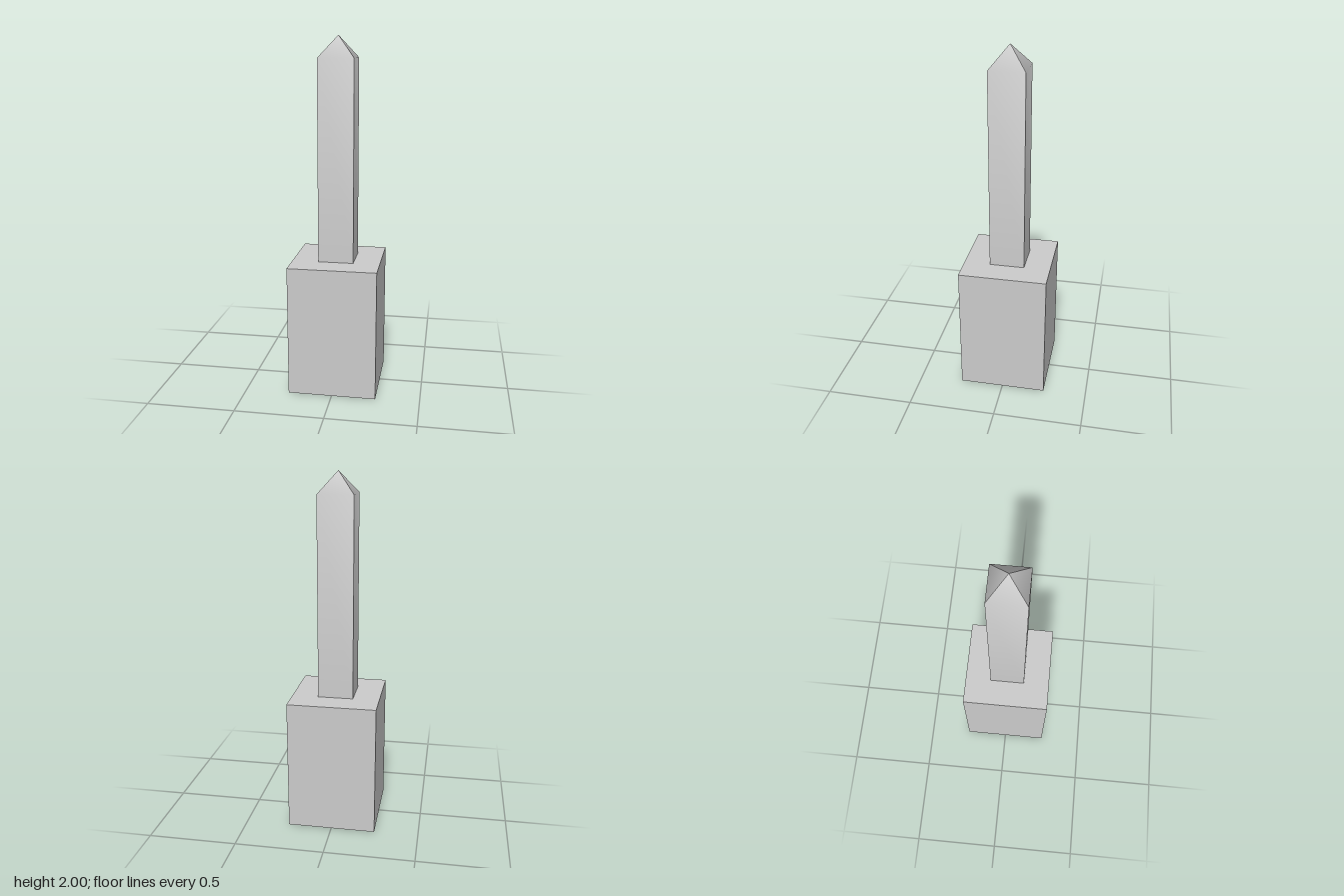
import * as THREE from 'three';
import { toCreasedNormals } from 'three/addons/utils/BufferGeometryUtils.js';

const BASE_SIZE = 0.5;
const BASE_HEIGHT = 0.75;
const SHAFT_SIZE = 0.2;
const SHOULDER_Y = 1.88;
const TIP_Y = 2;

export function createModel() {
  const model = new THREE.Group();
  model.name = 'spike';
  const material = new THREE.MeshStandardMaterial({ color: 0xcccccc });

  // Square block standing on the ground
  const base = new THREE.Mesh(new THREE.BoxGeometry(BASE_SIZE, BASE_HEIGHT, BASE_SIZE), material);
  base.name = 'base';
  base.position.y = BASE_HEIGHT / 2;
  model.add(base);

  // Four-sided shaft with a pyramid tip; each side blends softly into its tip face
  const radius = SHAFT_SIZE / Math.SQRT2;
  const profile = [
    new THREE.Vector2(radius, BASE_HEIGHT),
    new THREE.Vector2(radius, SHOULDER_Y),
    new THREE.Vector2(0, TIP_Y),
  ];
  const shaftGeometry = new THREE.LatheGeometry(profile, 4, Math.PI / 4);
  const shaft = new THREE.Mesh(toCreasedNormals(shaftGeometry, Math.PI / 3), material);
  shaft.name = 'shaft';
  model.add(shaft);

  return model;
}
